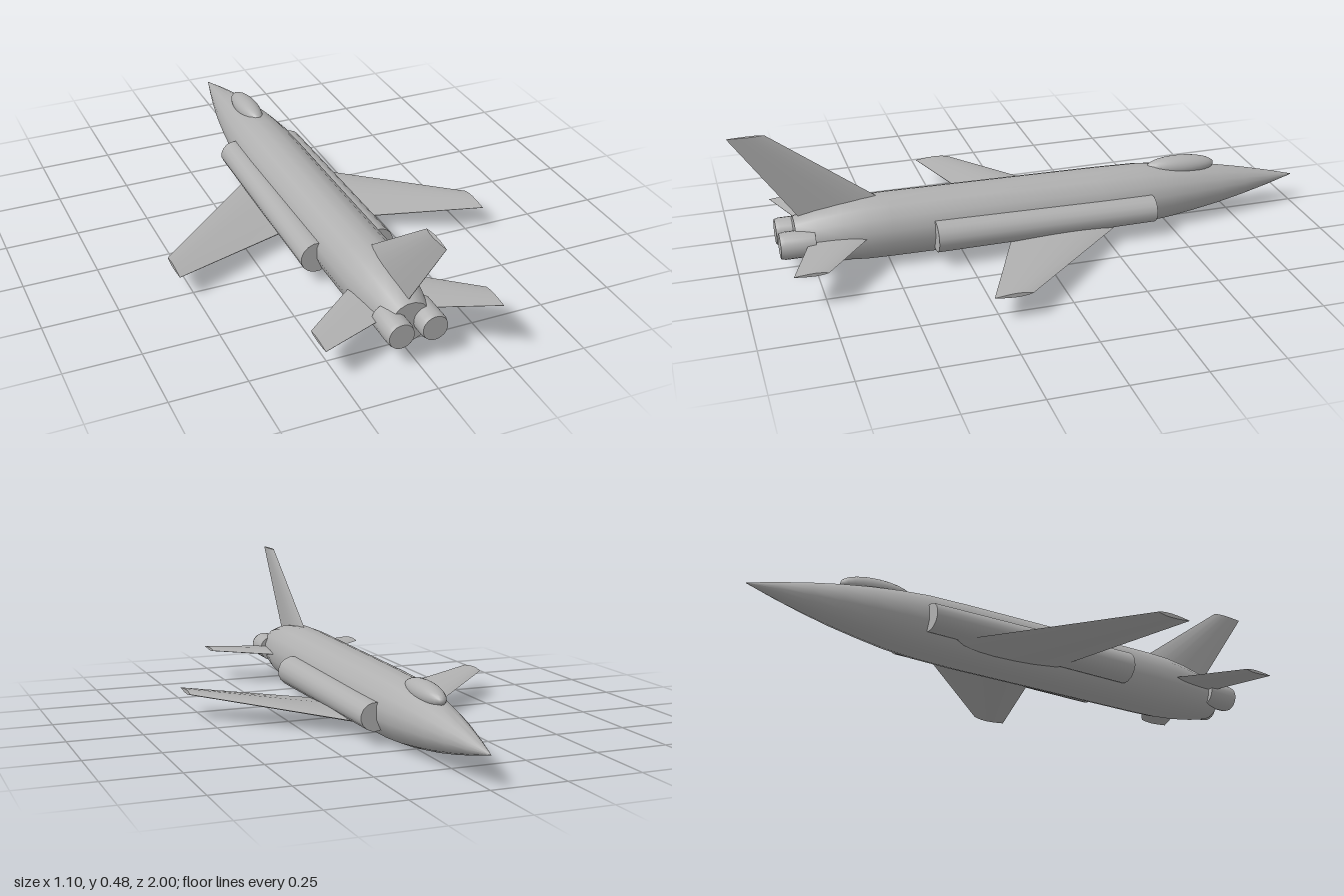
import * as THREE from 'three';
import { toCreasedNormals } from 'three/addons/utils/BufferGeometryUtils.js';

// Skin a list of equal-length rings, cap both ends, face outwards
function loft(rings, crease = 0.6) {
  const n = rings[0].length, tris = [];
  for (let r = 0; r < rings.length - 1; r++) {
    for (let i = 0; i < n; i++) {
      const j = (i + 1) % n;
      const a = rings[r][i], b = rings[r][j], c = rings[r + 1][j], d = rings[r + 1][i];
      tris.push([a, b, c], [a, c, d]);
    }
  }
  const first = rings[0], last = rings[rings.length - 1];
  for (let i = 1; i < n - 1; i++) {
    tris.push([first[0], first[i + 1], first[i]], [last[0], last[i], last[i + 1]]);
  }
  let volume = 0;
  const cross = new THREE.Vector3();
  for (const [a, b, c] of tris) volume += a.dot(cross.crossVectors(b, c));
  const points = tris.flatMap(([a, b, c]) => (volume < 0 ? [a, c, b] : [a, b, c]));
  return toCreasedNormals(new THREE.BufferGeometry().setFromPoints(points), crease);
}

// Elliptical ring across z, with flats at top and bottom
function ring(x, y, z, rx, ry, sides) {
  return Array.from({ length: sides }, (_, i) => {
    const t = ((i + 0.5) / sides) * Math.PI * 2 + Math.PI / 2;
    return new THREE.Vector3(x + Math.cos(t) * rx, y + Math.sin(t) * ry, z);
  });
}

// Thin lens section: chord fraction and half-thickness fraction
const FOIL = [[0, 0], [0.1, 0.5], [0.25, 0.88], [0.4, 1], [0.6, 0.85], [0.8, 0.5], [1, 0.08]];

function foil(front, back, thick, place) {
  const upper = FOIL.map(([c, h]) => place(front + (back - front) * c, (h * thick) / 2));
  const lower = FOIL.slice(1).reverse().map(([c, h]) => place(front + (back - front) * c, (-h * thick) / 2));
  return [...upper, ...lower];
}

// Horizontal surface; each station is [x, y, leading z, trailing z, thickness]
function wing(side, stations) {
  return loft(stations.map(([x, y, f, b, t]) =>
    foil(f, b, t, (z, h) => new THREE.Vector3(side * x, y + h, z))), 0.9);
}

export function createModel() {
  const model = new THREE.Group();
  const grey = new THREE.MeshStandardMaterial({ color: 0xb0b0b0 });
  grey.name = 'airframe grey';
  const add = (name, geometry) => {
    const mesh = new THREE.Mesh(geometry, grey);
    mesh.name = name;
    model.add(mesh);
    return mesh;
  };

  // Fuselage, nose towards -z: [z, centre y, radius]
  const body = [
    [-1, 0.108, 0.001], [-0.9, 0.109, 0.027], [-0.8, 0.11, 0.05], [-0.7, 0.111, 0.07],
    [-0.6, 0.112, 0.086], [-0.5, 0.112, 0.099], [-0.4, 0.113, 0.107], [-0.25, 0.114, 0.11],
    [0.5, 0.122, 0.111], [0.58, 0.122, 0.109], [0.66, 0.121, 0.101], [0.74, 0.12, 0.087],
    [0.81, 0.119, 0.069],
  ];
  add('fuselage', loft(body.map(([z, y, r]) => ring(0, y, z, r, r, 16))));

  // Cockpit canopy
  const canopy = add('canopy', new THREE.SphereGeometry(1, 24, 16));
  canopy.scale.set(0.04, 0.036, 0.128);
  canopy.position.set(0, 0.2, -0.56);
  canopy.rotation.x = -0.04;

  for (const [side, label] of [[1, 'left'], [-1, 'right']]) {
    // Air intake along the flank
    add(label + 'Intake', loft([
      ring(side * 0.106, 0.1, -0.42, 0.05, 0.047, 16),
      ring(side * 0.109, 0.105, 0.355, 0.056, 0.054, 16),
    ]));

    // Swept wing with slight dihedral
    add(label + 'Wing', wing(side, [
      [0.08, 0.053, -0.32, 0.08, 0.034],
      [0.55, 0.093, 0.15, 0.275, 0.014],
    ]));

    // Tailplane
    add(label + 'Tailplane', wing(side, [
      [0.05, 0.125, 0.54, 0.76, 0.018],
      [0.297, 0.125, 0.742, 0.853, 0.011],
    ]));

    // Engine nozzle
    add(label + 'Nozzle', loft([
      ring(side * 0.056, 0.117, 0.75, 0.046, 0.046, 20),
      ring(side * 0.056, 0.117, 0.85, 0.046, 0.046, 20),
      ring(side * 0.056, 0.117, 0.865, 0.042, 0.042, 20),
    ]));
  }

  // Vertical fin: [y, leading z, trailing z, thickness]
  add('fin', loft([[0.18, 0.463, 0.785, 0.028], [0.49, 0.88, 1, 0.012]].map(([y, f, b, t]) =>
    foil(f, b, t, (z, h) => new THREE.Vector3(h, y, z))), 0.9));

  return model;
}
